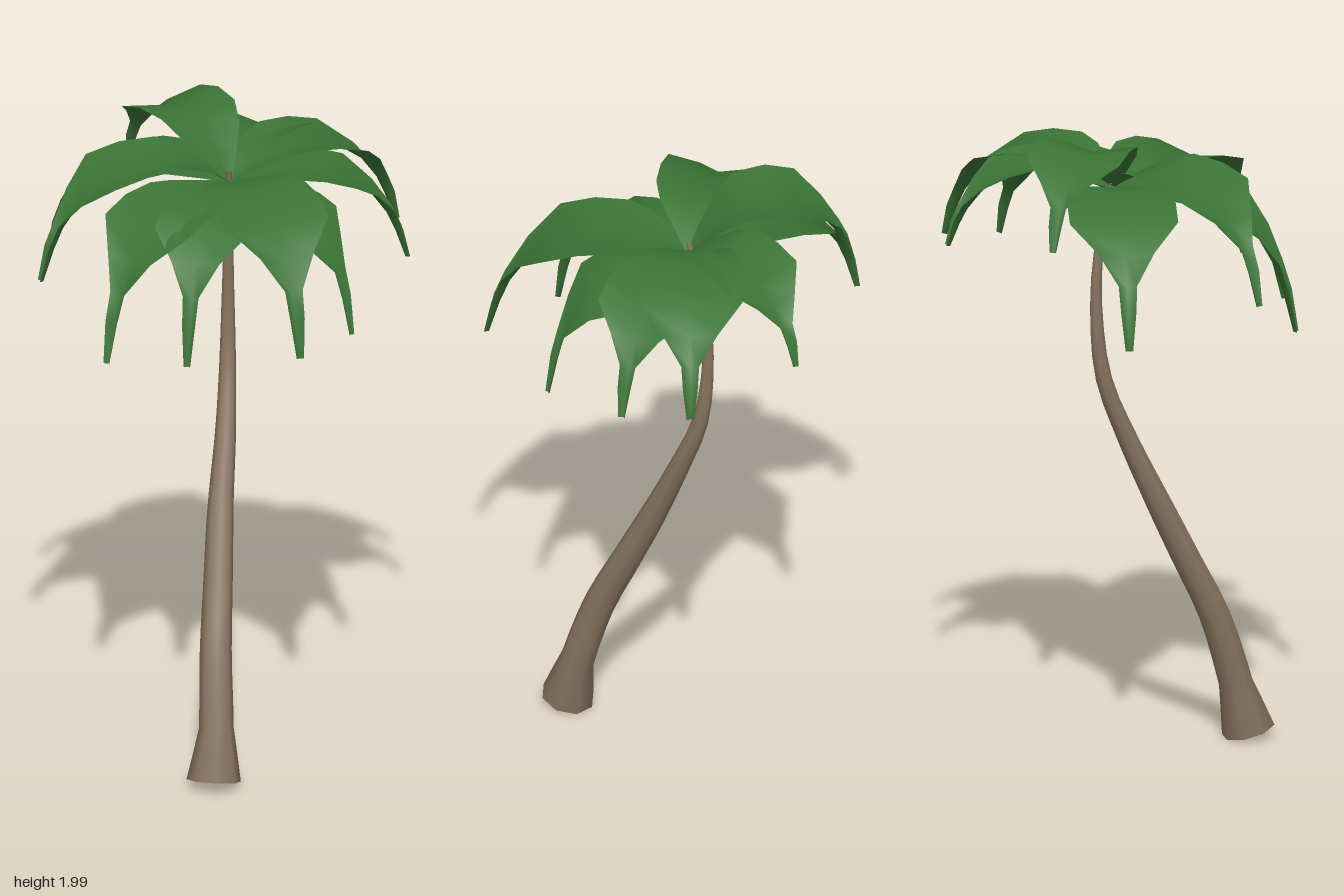
import * as THREE from 'three';

const bark = new THREE.MeshStandardMaterial({ color: 0x8a7661, side: THREE.DoubleSide });
bark.name = 'bark brown';
const leaf = new THREE.MeshStandardMaterial({ color: 0x3b7436, side: THREE.DoubleSide });
leaf.name = 'leaf green';

const CROWN = new THREE.Vector3(0.02, 1.8, -0.01);

// piecewise linear lookup in [position, value] stops
function lerpStops(stops, u) {
  let k = 1;
  while (k < stops.length - 1 && u > stops[k][0]) k++;
  const [u0, v0] = stops[k - 1], [u1, v1] = stops[k];
  return v0 + (v1 - v0) * (u - u0) / (u1 - u0);
}

// leaning trunk: an open tube whose rings are scaled to taper, flared at the foot
function makeTrunk() {
  const curve = new THREE.CatmullRomCurve3([
    [0.28, 0.025, 0.36], [0.262, 0.17, 0.327], [0.21, 0.4, 0.27], [0.15, 0.6, 0.19],
    [0.09, 0.8, 0.11], [0.04, 1.0, 0.03], [-0.008, 1.2, -0.035], [-0.024, 1.4, -0.055],
    [-0.018, 1.6, -0.05], [0.02, 1.83, -0.01],
  ].map((p) => new THREE.Vector3(...p)));
  const radii = [[0, 0.083], [0.083, 0.053], [0.4, 0.042], [0.6, 0.029], [0.8, 0.018], [1, 0.009]];
  const rings = 24, sides = 8;
  const geo = new THREE.TubeGeometry(curve, rings, 1, sides, false);
  const pos = geo.attributes.position, v = new THREE.Vector3();
  for (let i = 0; i <= rings; i++) {
    const centre = curve.getPointAt(i / rings), r = lerpStops(radii, i / rings);
    for (let j = 0; j <= sides; j++) {
      const n = i * (sides + 1) + j;
      v.fromBufferAttribute(pos, n).sub(centre).multiplyScalar(r).add(centre);
      pos.setXYZ(n, v.x, v.y, v.z);
    }
  }
  const trunk = new THREE.Mesh(geo, bark);
  trunk.name = 'trunk';
  return trunk;
}

// frond outline: [distance along, half-width share, share of the drop to the tip, crease depth]
const ROWS = [
  [0, 0.06, 0, 0], [0.11, 0.42, 0, 0], [0.22, 0.75, 0, 0], [0.33, 0.93, 0, 0], [0.5, 1, 0.03, 0],
  [0.66, 1, 0.11, 0], [0.8, 0.52, 0.28, 0.005], [0.9, 0.17, 0.5, 0.01], [0.95, 0.14, 0.7, 0.01],
  [1, 0.07, 1, 0.006],
];

// broad leaf with raised edges that narrows to a creased, drooping tip
function makeFrond([tx, ty, tz, peak, half, lift], riseEnd = 0.33) {
  const dx = tx - CROWN.x, dz = tz - CROWN.z, len = Math.hypot(dx, dz);
  const ux = dx / len, uz = dz / len;
  const ridge = ROWS.map(([t, , drop]) => {
    const rise = Math.sin(Math.min(t / riseEnd, 1) * Math.PI / 2);
    return new THREE.Vector2(len * t, CROWN.y + (peak - CROWN.y) * rise - (peak - ty) * drop);
  });
  const position = [], index = [];
  ROWS.forEach(([, w, , crease], i) => {
    // the fold opens along the normal of the ridge line
    const along = ridge[Math.min(i + 1, ridge.length - 1)].clone().sub(ridge[Math.max(i - 1, 0)]).normalize();
    for (const s of [-1, 0, 1]) {
      const fold = s === 0 ? -crease : lift * w + crease;
      const r = ridge[i].x - along.y * fold, side = half * w * s;
      position.push(CROWN.x + ux * r - uz * side, ridge[i].y + along.x * fold, CROWN.z + uz * r + ux * side);
    }
    if (i === 0) return;
    for (let c = 0; c < 2; c++) {
      const a = (i - 1) * 3 + c, b = a + 1, d = a + 3, e = a + 4;
      index.push(a, d, b, b, d, e);
    }
  });
  const geo = new THREE.BufferGeometry();
  geo.setAttribute('position', new THREE.Float32BufferAttribute(position, 3));
  geo.setIndex(index);
  geo.computeVertexNormals();
  const mesh = new THREE.Mesh(geo, leaf);
  mesh.name = 'frond';
  return mesh;
}

// tip x, y, z, ridge height, half-width, edge lift
const FRONDS = [
  [-0.15, 1.64, -0.49, 1.88, 0.138, 0.035],
  [0.21, 1.57, -0.56, 1.877, 0.16, 0.035],
  [0.38, 1.53, -0.42, 1.83, 0.15, 0.02],
  [0.485, 1.41, -0.04, 1.81, 0.155, -0.03],
  [0.565, 1.45, 0.29, 1.84, 0.167, 0.03],
  [0.27, 1.4, 0.47, 1.81, 0.145, 0.01],
  [0.02, 1.37, 0.55, 1.79, 0.165, 0.025],
  [-0.3, 1.54, 0.49, 1.88, 0.16, 0.035],
  [-0.57, 1.46, 0.14, 1.83, 0.165, 0.02],
];

export function createModel() {
  const model = new THREE.Group();
  model.name = 'palmTree';
  model.add(makeTrunk());
  const crown = new THREE.Group();
  crown.name = 'crown';
  FRONDS.forEach((f) => crown.add(makeFrond(f)));
  // the highest frond, arching well above the rest
  const high = makeFrond([-0.47, 1.73, -0.11, 1.975, 0.15, 0.03], 0.45);
  high.name = 'highFrond';
  crown.add(high);
  model.add(crown);
  return model;
}
